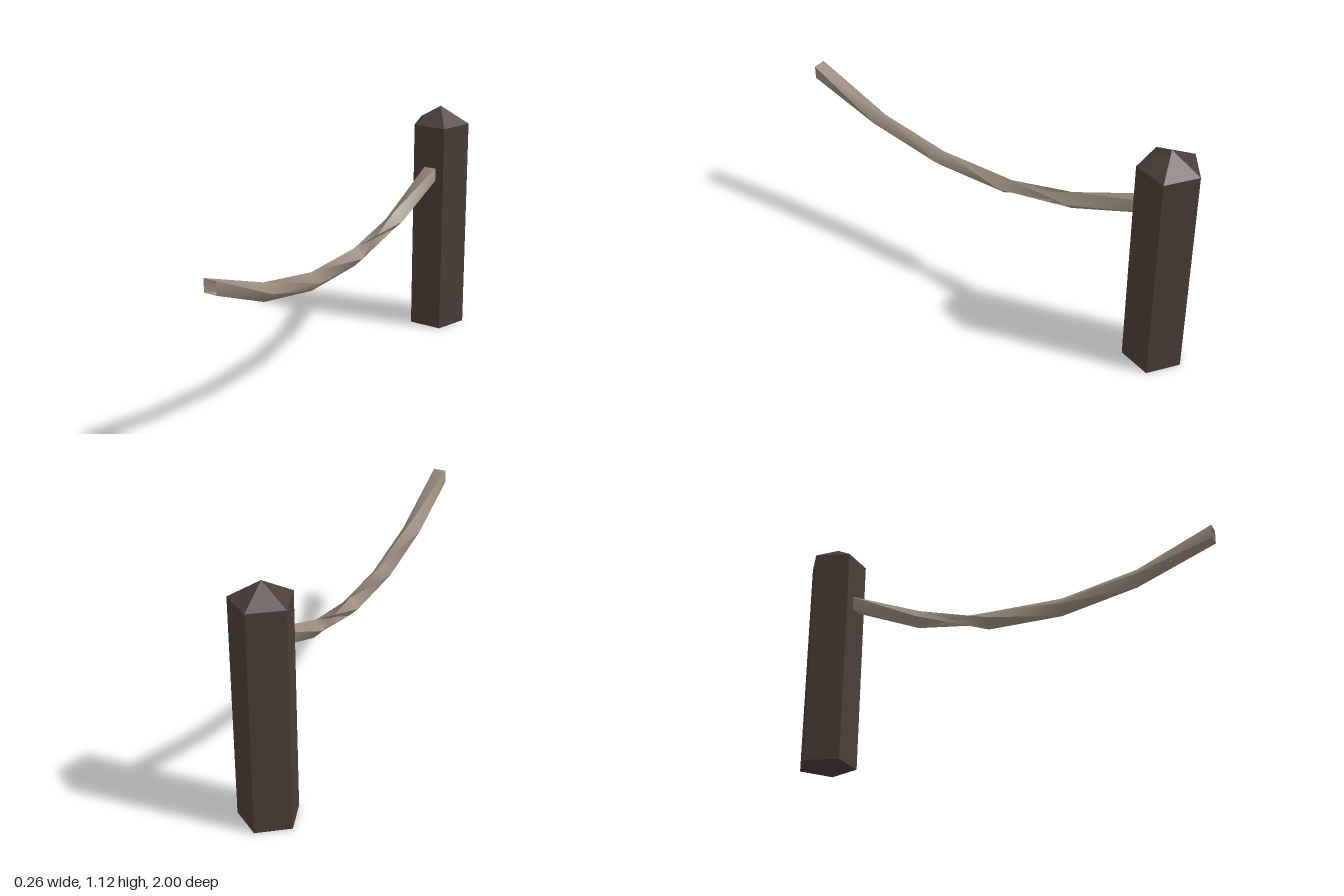
import * as THREE from 'three';

export function createModel() {
  const model = new THREE.Group();
  const darkWood = new THREE.MeshStandardMaterial({ color: 0x4a3d37, flatShading: true });
  darkWood.name = 'dark wood';
  const rope = new THREE.MeshStandardMaterial({ color: 0x998b7c, side: THREE.DoubleSide });
  rope.name = 'rope';

  const add = (name, geometry, material, y = 0, z = 0) => {
    const mesh = new THREE.Mesh(geometry, material);
    mesh.name = name;
    mesh.position.set(0, y, z);
    model.add(mesh);
    return mesh;
  };

  // Five-sided post with a pointed cap, one corner towards the back
  const R = 0.138, H = 1.035, CAP = 0.08, POST_Z = -0.862;
  add('post', new THREE.CylinderGeometry(R, R, H, 5), darkWood, H / 2, POST_Z).rotation.y = Math.PI;
  add('postCap', new THREE.ConeGeometry(R, CAP, 5, 1, true), darkWood, H + CAP / 2, POST_Z).rotation.y = Math.PI;

  // Sagging square rope, open at both ends, one full turn of twist
  const twist = [45, 90, 180, 270, 360, 405];
  const zStart = -0.765, step = (1 - zStart) / 5, zLow = 0.1175;
  const positions = [], indices = [];
  for (let side = 0; side < 4; side++) {
    const base = positions.length / 3;
    twist.forEach((degrees, i) => {
      const z = zStart + i * step;
      const y = 0.591 + 0.289 * ((z - zLow) ** 2 - 0.031);
      for (const corner of [side, side + 1]) {
        const a = THREE.MathUtils.degToRad(degrees + corner * 90);
        positions.push(0.008 + 0.0435 * Math.cos(a), y + 0.0435 * Math.sin(a), z);
      }
    });
    for (let i = 0; i < 5; i++) {
      const a = base + i * 2, b = a + 1, c = a + 2, d = a + 3;
      // The second span folds the other way, pinching the rope
      if (i === 1) indices.push(a, b, d, a, d, c);
      else indices.push(a, b, c, b, d, c);
    }
  }
  const ropeGeometry = new THREE.BufferGeometry();
  ropeGeometry.setAttribute('position', new THREE.Float32BufferAttribute(positions, 3));
  ropeGeometry.setIndex(indices);
  ropeGeometry.computeVertexNormals();
  add('rope', ropeGeometry, rope);

  return model;
}
